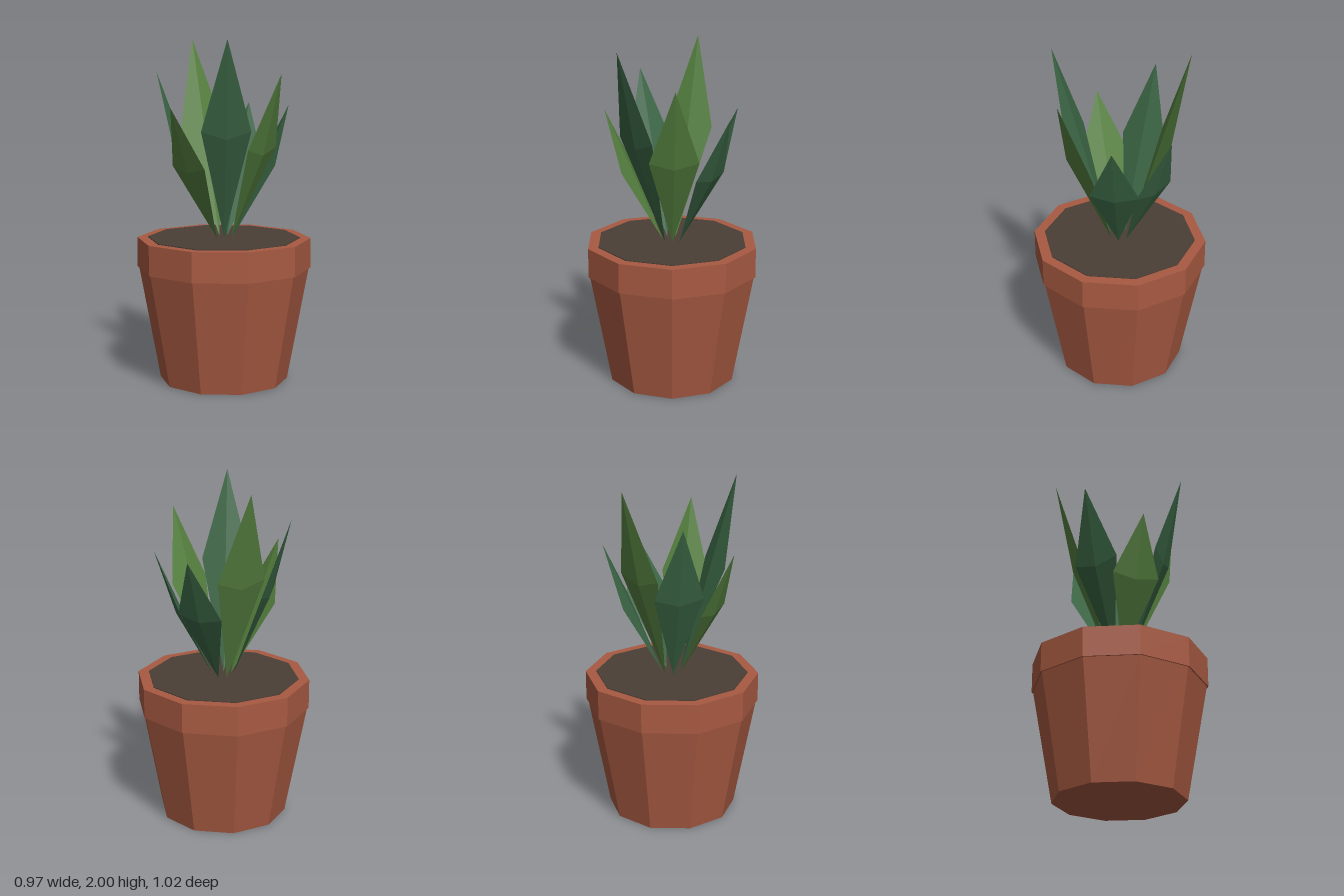
import * as THREE from 'three';

const SIDES = 10;
const LEAVES = 7;

const flat = (color) => new THREE.MeshStandardMaterial({ color, flatShading: true });

// One pointed leaf growing outward along +x: a creased upper side and a keeled underside
function leafGeometry(tipY) {
  const baseY = 0.85;
  const at = (f) => baseY + (tipY - baseY) * f;
  const base = [0.055, baseY, 0];
  const tip = [0.397, tipY, 0];
  const left = [0.268, at(0.555), 0.141];
  const right = [0.268, at(0.555), -0.141];
  const keel = [0.275, at(0.515), 0];
  const faces = [
    base, left, tip, base, tip, right, // upper side
    base, keel, left, keel, tip, left, // underside
    base, right, keel, keel, right, tip,
  ];
  const geometry = new THREE.BufferGeometry();
  geometry.setAttribute('position', new THREE.Float32BufferAttribute(faces.flat(), 3));
  geometry.computeVertexNormals();
  return geometry;
}

export function createModel() {
  const model = new THREE.Group();
  model.name = 'pottedPlant';

  const clay = flat(0xa85a42);
  const soilMaterial = flat(0x4a3f35);
  const greens = [flat(0x3b6645), flat(0x55803f)];

  // Ten-sided tapered drum between two heights
  const drum = (name, topRadius, bottomRadius, y0, y1, material) => {
    const mesh = new THREE.Mesh(
      new THREE.CylinderGeometry(topRadius, bottomRadius, y1 - y0, SIDES), material);
    mesh.position.y = (y0 + y1) / 2;
    mesh.name = name;
    model.add(mesh);
  };
  drum('potBody', 0.503, 0.378, 0, 0.68, clay);
  drum('potRim', 0.51, 0.51, 0.67, 0.845, clay);
  drum('soil', 0.447, 0.447, 0.8, 0.85, soilMaterial);

  // Ring of leaves in three repeating heights and two alternating greens
  const leaves = new THREE.Group();
  leaves.name = 'leaves';
  for (let i = 0; i < LEAVES; i++) {
    const leaf = new THREE.Mesh(leafGeometry(1.62 + 0.19 * (i % 3)), greens[i % 2]);
    leaf.rotation.y = -i * 2 * Math.PI / LEAVES;
    leaf.name = 'leaf' + (i + 1);
    leaves.add(leaf);
  }
  model.add(leaves);

  return model;
}
